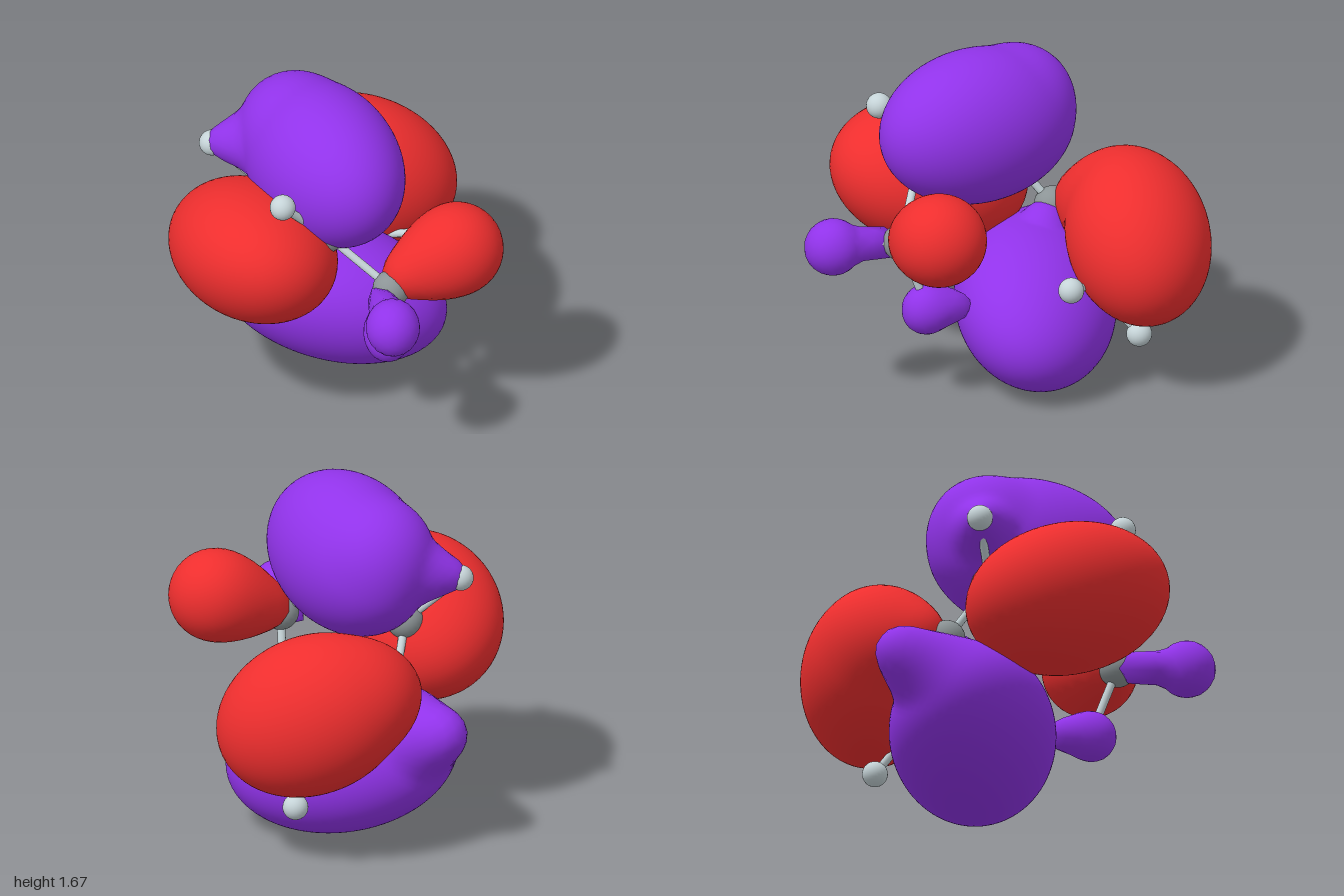
import * as THREE from 'three';
import { mergeVertices } from 'three/addons/utils/BufferGeometryUtils.js';

const V = (a) => new THREE.Vector3(...a);
const RED = 0xee2e2e, PURPLE = 0x9133ea, CARBON = 0x8c9496, PALE = 0xc6d4d8;

// an ellipsoid: centre, three radii, rotation angles
const blob = (c, r, turn = [0, 0, 0]) => ({
  c: V(c), r: V(r),
  q: new THREE.Quaternion().setFromEuler(new THREE.Euler(...turn)).invert(),
});

// a row of balls tapering from a to b
function tail(a, ra, b, rb, n = 6) {
  const row = [];
  for (let i = 0; i <= n; i++) {
    const t = i / n, r = ra + (rb - ra) * t;
    row.push(blob(V(a).lerp(V(b), t).toArray(), [r, r, r]));
  }
  return row;
}

// smooth union of ellipsoids, negative inside
function field(p, blobs, k) {
  let sum = Infinity;
  const d = new THREE.Vector3();
  for (const b of blobs) {
    d.copy(p).sub(b.c).applyQuaternion(b.q).divide(b.r);
    const f = (d.length() - 1) * Math.min(b.r.x, b.r.y, b.r.z);
    if (sum === Infinity) { sum = f; continue; }
    const h = Math.max(k - Math.abs(sum - f), 0) / k;
    sum = Math.min(sum, f) - h * h * k * 0.25;
  }
  return sum;
}

// lobe surface: sphere vertices pushed outward to the edge of the union
function lobeGeometry(blobs, detail, k) {
  const ico = new THREE.IcosahedronGeometry(1, detail);
  ico.deleteAttribute('normal');
  ico.deleteAttribute('uv');
  const geo = mergeVertices(ico, 1e-4);
  const pos = geo.attributes.position;
  const root = blobs[0].c, dir = new THREE.Vector3(), p = new THREE.Vector3();
  const at = (r) => field(p.copy(root).addScaledVector(dir, r), blobs, k);
  for (let i = 0; i < pos.count; i++) {
    dir.fromBufferAttribute(pos, i).normalize();
    let hi = 1.1;
    while (hi > 0.02 && at(hi) > 0) hi -= 0.02;
    let lo = hi;
    hi += 0.02;
    for (let j = 0; j < 8; j++) {
      const mid = (lo + hi) / 2;
      if (at(mid) > 0) hi = mid; else lo = mid;
    }
    p.copy(root).addScaledVector(dir, lo);
    pos.setXYZ(i, p.x, p.y, p.z);
  }
  geo.computeVertexNormals();
  return geo;
}

export function createModel() {
  const model = new THREE.Group();
  model.name = 'moleculeWithLobes';
  const mats = {};
  const mat = (color) => (mats[color] ??= new THREE.MeshStandardMaterial({ color }));
  const add = (name, geo, color) => {
    const m = new THREE.Mesh(geo, mat(color));
    m.name = name;
    model.add(m);
    return m;
  };
  const lobe = (name, color, blobs, detail = 12, k = 0.06) =>
    add(name, lobeGeometry(blobs, detail, k), color);

  // large lobes
  lobe('upperLobe', PURPLE, [
    blob([-0.04, 1.305, 0.085], [0.345, 0.38, 0.525], [-0.08, 0.38, 0]),
    blob([-0.16, 1.37, -0.13], [0.27, 0.27, 0.28]),
    ...tail([-0.27, 1.3, -0.15], 0.18, [-0.52, 1.27, -0.19], 0.06),
  ], 14, 0.04);
  lobe('lowerLobe', PURPLE, [
    blob([0.02, 0.385, -0.185], [0.57, 0.34, 0.405], [-0.55, -0.17, -0.32]),
    ...tail([-0.25, 0.48, -0.3], 0.25, [-0.42, 0.6, -0.57], 0.12),
    ...tail([-0.13, 0.62, -0.25], 0.12, [-0.17, 0.71, -0.28], 0.09),
  ], 16, 0.04);
  lobe('rightLobe', RED, [
    blob([-0.395, 0.925, 0.235], [0.395, 0.335, 0.515], [-0.28, 0.25, -0.35]),
  ]);
  lobe('backLobe', RED, [
    blob([0.21, 0.75, -0.645], [0.475, 0.38, 0.345], [0.35, -0.22, -0.36]),
    ...tail([-0.02, 0.82, -0.62], 0.27, [-0.2, 0.8, -0.46], 0.1),
  ]);

  // small lobes at the end group
  lobe('leftSmallLobe', RED, [
    blob([0.565, 0.995, 0.42], [0.225, 0.225, 0.225]),
    ...tail([0.5, 0.97, 0.44], 0.19, [0.29, 0.9, 0.49], 0.08),
  ], 6);
  lobe('frontSmallLobe', PURPLE, [
    blob([0.215, 0.86, 0.86], [0.13, 0.14, 0.14]),
    ...tail([0.21, 0.86, 0.8], 0.08, [0.18, 0.84, 0.57], 0.07),
  ], 3, 0.03);
  lobe('lowerSmallLobe', PURPLE, [
    blob([0.235, 0.495, 0.405], [0.11, 0.125, 0.12]),
    ...tail([0.23, 0.5, 0.37], 0.1, [0.22, 0.49, 0.22], 0.05),
  ], 3, 0.03);

  // atoms: five in the chain, then the outer ones with the chain index they join
  const chain = [
    [0.24, 0.86, 0.53], [-0.06, 1.09, 0.38], [-0.29, 1.03, -0.13],
    [-0.22, 0.77, -0.33], [0.2, 0.52, -0.43],
  ];
  const outer = [
    [0, [0.565, 0.995, 0.42]], [0, [0.215, 0.86, 0.86]], [0, [0.235, 0.5, 0.4]],
    [1, [-0.28, 1.35, 0.51]], [2, [-0.55, 1.26, -0.2]], [3, [-0.42, 0.61, -0.58]],
    [4, [0.51, 0.64, -0.24]], [4, [0.29, 0.28, -0.63]],
  ];
  const carbonGeo = new THREE.SphereGeometry(0.09, 24, 16);
  const outerGeo = new THREE.SphereGeometry(0.062, 24, 16);
  const bond = (a, b) => {
    const d = V(b).sub(V(a));
    const rod = add('bond', new THREE.CylinderGeometry(0.02, 0.02, d.length(), 12), PALE);
    rod.position.copy(V(a)).addScaledVector(d, 0.5);
    rod.quaternion.setFromUnitVectors(new THREE.Vector3(0, 1, 0), d.normalize());
  };
  chain.forEach((c, i) => {
    add('chainAtom', carbonGeo, CARBON).position.set(...c);
    if (i) bond(chain[i - 1], c);
  });
  for (const [i, p] of outer) {
    add('outerAtom', outerGeo, PALE).position.set(...p);
    bond(chain[i], p);
  }
  return model;
}
